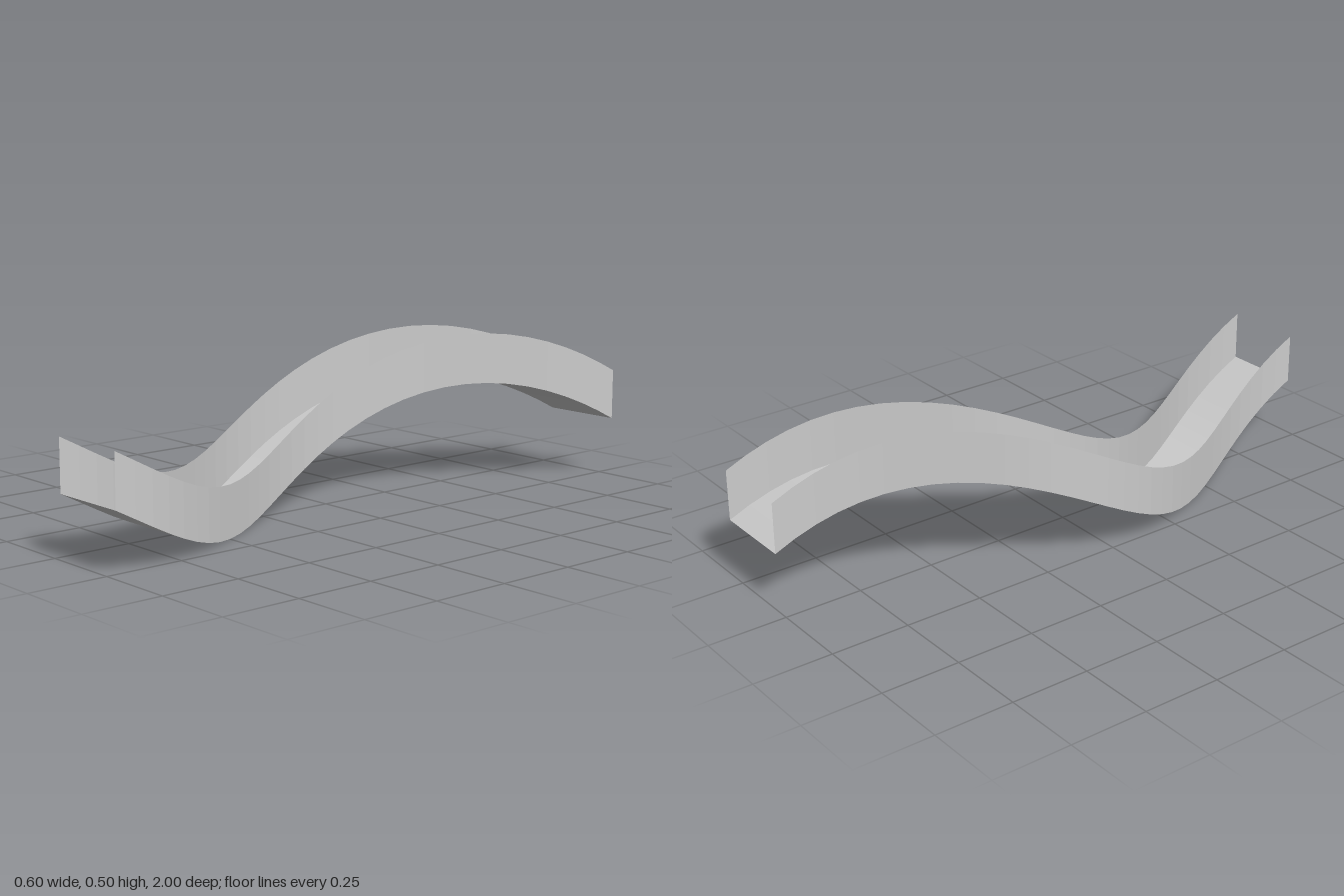
import * as THREE from 'three';

const SEGMENTS = 32;
const RADIUS = 0.169;      // sway and rise of the winding path
const HALF_WIDTH = 0.131;
const WALL = 0.161;        // side wall height

// Centre of the channel floor at depth z: one full turn over the length
function pathPoint(z) {
  const a = Math.PI * (z + 0.04);
  return new THREE.Vector3(-RADIUS * Math.cos(a), RADIUS - RADIUS * Math.sin(a), z);
}

// Ribbon swept along the path between two section offsets [x, y]
function ribbon(name, a, b, material) {
  const positions = [];
  const index = [];
  for (let i = 0; i <= SEGMENTS; i++) {
    const p = pathPoint(-1 + (2 * i) / SEGMENTS);
    for (const [x, y] of [a, b]) positions.push(p.x + x, p.y + y, p.z);
    if (i < SEGMENTS) {
      const k = i * 2;
      index.push(k, k + 2, k + 1, k + 1, k + 2, k + 3);
    }
  }
  const geometry = new THREE.BufferGeometry();
  geometry.setAttribute('position', new THREE.Float32BufferAttribute(positions, 3));
  geometry.setIndex(index);
  geometry.computeVertexNormals();
  const mesh = new THREE.Mesh(geometry, material);
  mesh.name = name;
  return mesh;
}

export function createModel() {
  const group = new THREE.Group();
  group.name = 'windingChannel';
  const material = new THREE.MeshStandardMaterial({
    color: 0xcccccc, flatShading: true, side: THREE.DoubleSide,
  });

  // Floor, facing up
  group.add(ribbon('floor', [-HALF_WIDTH, 0], [HALF_WIDTH, 0], material));

  // Upright walls along both edges
  group.add(ribbon('leftWall', [HALF_WIDTH, 0], [HALF_WIDTH, WALL], material));
  group.add(ribbon('rightWall', [-HALF_WIDTH, WALL], [-HALF_WIDTH, 0], material));
  return group;
}
